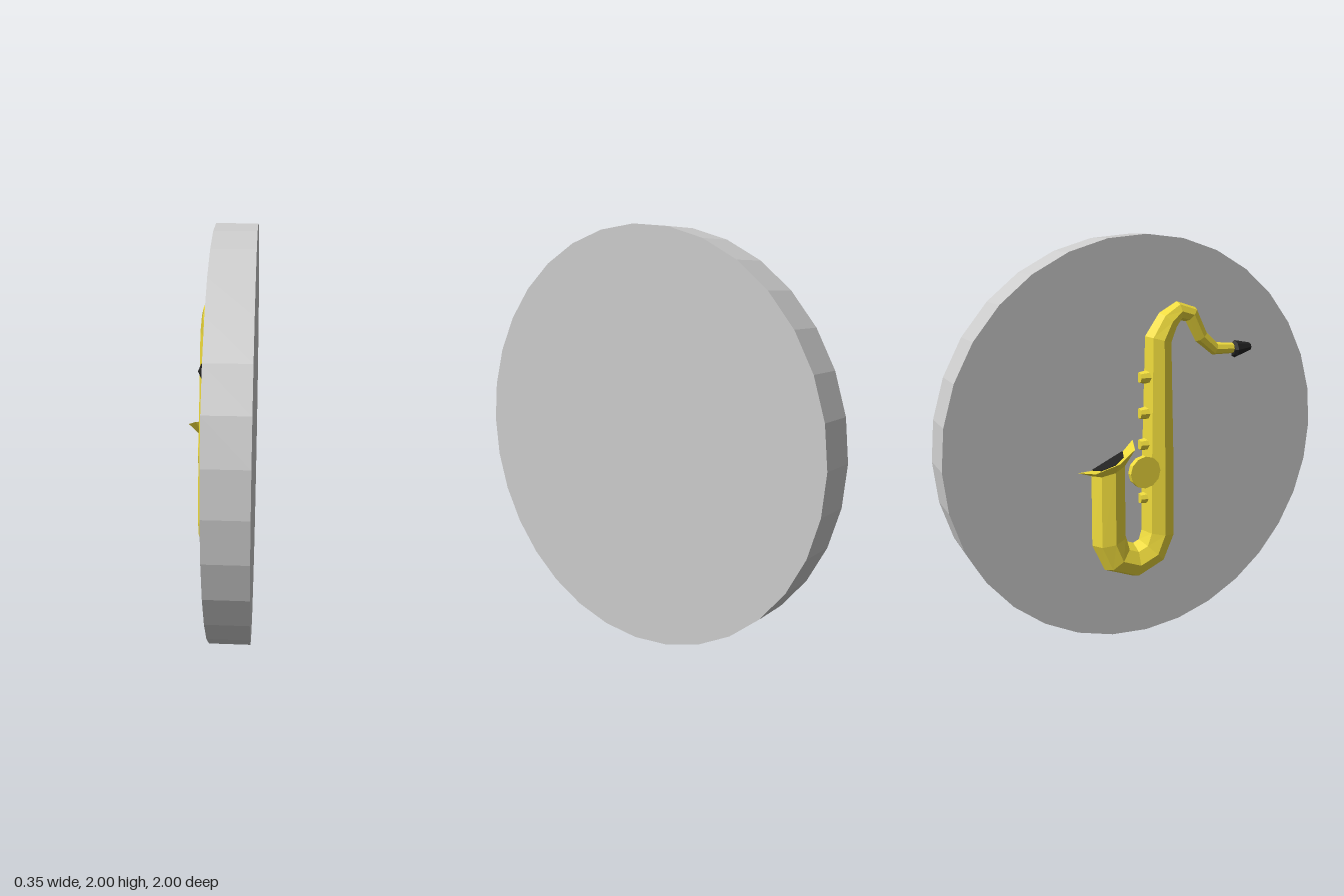
import * as THREE from 'three';

const FACE_X = -0.02; // plane of the plaque face, the horn is half sunk into it
const mat = (color) => new THREE.MeshStandardMaterial({ color, flatShading: true });

// Octagonal tube through stations [z, y, radius, tangentZ?, tangentY?], capped at both ends
function sweep(stations, sides = 8) {
  const pos = [], index = [];
  const centre = stations.map(([z, y]) => new THREE.Vector3(FACE_X, y, z));
  const X = new THREE.Vector3(1, 0, 0);
  const dir = (i) => centre[i + 1].clone().sub(centre[i]).normalize();
  const last = stations.length - 1;
  stations.forEach(([, , r, tz, ty], i) => {
    const T = new THREE.Vector3();
    if (tz !== undefined) T.set(0, ty, tz);
    else {
      if (i > 0) T.add(dir(i - 1));
      if (i < last) T.add(dir(i));
    }
    const N = T.normalize().clone().cross(X);
    for (let j = 0; j < sides; j++) {
      const a = (j / sides) * Math.PI * 2;
      const p = centre[i].clone().addScaledVector(X, r * Math.cos(a)).addScaledVector(N, r * Math.sin(a));
      pos.push(p.x, p.y, p.z);
    }
  });
  for (let i = 0; i < last; i++) {
    for (let j = 0; j < sides; j++) {
      const k = (j + 1) % sides, a = i * sides, b = a + sides;
      index.push(a + j, a + k, b + k, a + j, b + k, b + j);
    }
  }
  for (let j = 1; j < sides - 1; j++) {
    const e = last * sides;
    index.push(0, j + 1, j, e, e + j, e + j + 1);
  }
  const g = new THREE.BufferGeometry();
  g.setAttribute('position', new THREE.Float32BufferAttribute(pos, 3));
  g.setIndex(index);
  const flat = g.toNonIndexed();
  flat.computeVertexNormals();
  return flat;
}

export function createModel() {
  const model = new THREE.Group();
  const brass = mat(0xf0dc3c), black = mat(0x222222), grey = mat(0xcccccc);
  const add = (name, geometry, material, parent = model) => {
    const mesh = new THREE.Mesh(geometry, material);
    mesh.name = name;
    parent.add(mesh);
    return mesh;
  };

  // Round plaque standing on its edge
  const disc = add('plaque', new THREE.CylinderGeometry(1, 1, 0.19, 32), grey);
  disc.rotation.z = Math.PI / 2;
  disc.position.set(0.075, 1, 0);

  const horn = new THREE.Group();
  horn.name = 'saxophone';
  model.add(horn);

  // Neck and main tube, from the mouthpiece down
  const stations = [
    [0.51, 1.445, 0.026], [0.38, 1.45, 0.032], [0.3, 1.515, 0.036], [0.24, 1.625, 0.042],
    [0.17, 1.645, 0.046], [0.11, 1.6, 0.058], [0.06, 1.515, 0.07], [0.06, 0.9, 0.085],
  ];
  // U bend at the bottom
  const bendZ = -0.075, bendY = 0.545, bendR = 0.135;
  for (let i = 0; i <= 4; i++) {
    const a = (i / 4) * Math.PI;
    stations.push([bendZ + bendR * Math.cos(a), bendY - bendR * Math.sin(a), 0.09]);
  }
  // Bell flare, rim and throat
  const tilt = [-0.41, 0.91];
  stations.push(
    [-0.21, 0.91, 0.09, -0.3, 0.95],
    [-0.22, 0.972, 0.158, ...tilt],
    [-0.212, 0.947, 0.092, ...tilt],
  );
  add('body', sweep(stations), brass, horn);

  // Dark opening of the bell
  add('bellOpening', sweep([[-0.208, 0.935, 0.09, ...tilt], [-0.213, 0.95, 0.09, ...tilt]]), black, horn);

  // Mouthpiece
  add('mouthpiece', sweep([[0.485, 1.44, 0.034], [0.5, 1.44, 0.044], [0.59, 1.447, 0.02]]), black, horn);

  // Key buttons along the main tube
  for (const y of [0.735, 1.01, 1.165, 1.34]) {
    const key = add('keyButton', new THREE.CylinderGeometry(0.026, 0.034, 0.05, 8), brass, horn);
    key.rotation.x = -Math.PI / 2;
    key.position.set(FACE_X - 0.01, y, -0.02);
  }

  // Large key cover between the two tubes
  const cover = add('keyCover', new THREE.CylinderGeometry(0.08, 0.08, 0.03, 12), brass, horn);
  cover.rotation.z = Math.PI / 2;
  cover.position.set(-0.095, 0.89, -0.05);

  return model;
}
